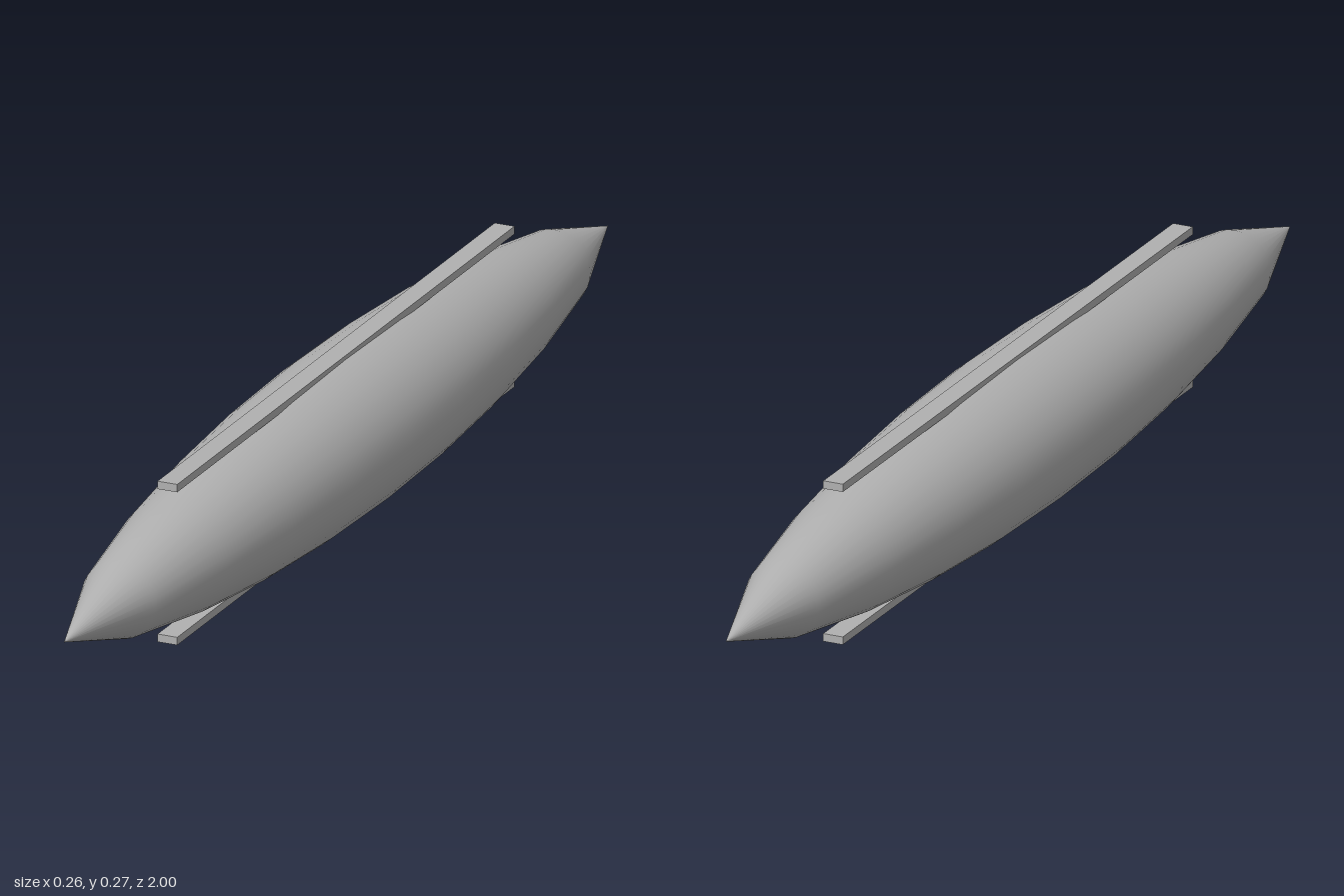
import * as THREE from 'three';

export function createModel() {
  const model = new THREE.Group();
  const grey = new THREE.MeshStandardMaterial({ color: 0xb0b0b0 });
  grey.name = 'hull grey';
  const centreY = 0.134;

  // Spindle hull: pointed at both ends, widest in the middle
  const profile = [];
  for (let i = -5; i <= 5; i++) {
    const t = i / 5;
    profile.push(new THREE.Vector2(0.129 * Math.pow(1 - t * t, 0.7), t));
  }
  const hull = new THREE.Mesh(new THREE.LatheGeometry(profile, 32).rotateX(Math.PI / 2), grey);
  hull.name = 'hull';
  hull.position.y = centreY;
  model.add(hull);

  // Straight rails along the top and bottom
  for (const side of [1, -1]) {
    const rail = new THREE.Mesh(new THREE.BoxGeometry(0.034, 0.013, 1.24), grey);
    rail.name = side > 0 ? 'topRail' : 'bottomRail';
    rail.position.y = centreY + side * 0.1275;
    model.add(rail);
  }
  return model;
}
